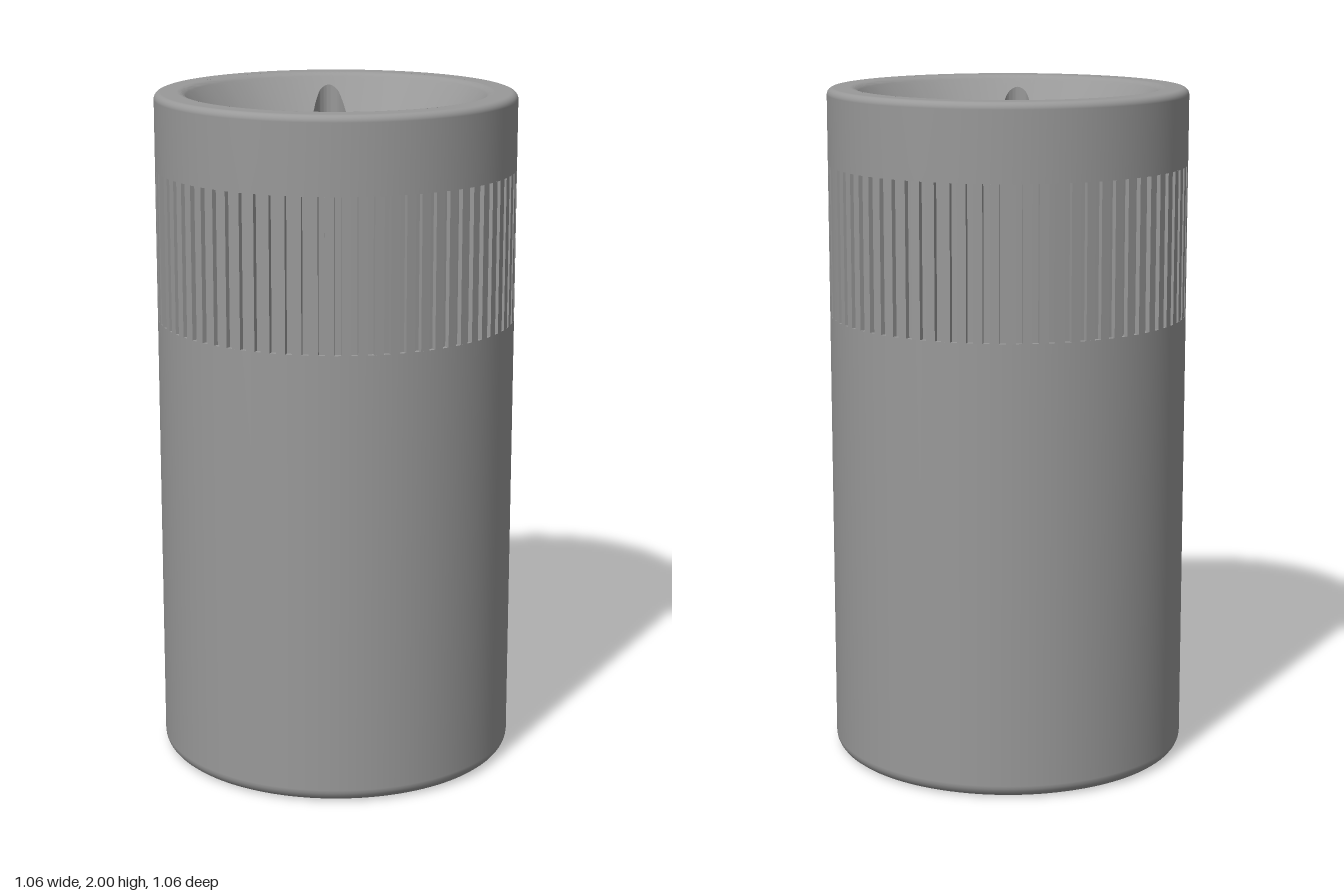
import * as THREE from 'three';
import { toCreasedNormals } from 'three/addons/utils/BufferGeometryUtils.js';

const V2 = (x, y) => new THREE.Vector2(x, y);
const R = 0.528;                       // outer radius
const KNURL = [1.335, 1.778];          // height range of the knurled band
const GROOVE_R = R - 0.014;            // radius at the bottom of the grooves
const DRIVE_FLOOR = 1.35, HEX_TOP = 0.9, BORE = 0.243;
const RIM = 0.445, SLOPE = 1.26;       // countersink radius at the top and its steepness
const material = new THREE.MeshStandardMaterial({ color: 0x999999, side: THREE.DoubleSide });

function circle(r, n) {
  return Array.from({ length: n }, (_, i) => {
    const a = (i / n) * Math.PI * 2;
    return V2(r * Math.cos(a), r * Math.sin(a));
  });
}

// Inward-facing wall through closed rings of Vector3, listed from bottom to top
function loft(rings) {
  const n = rings[0].length, index = [];
  for (let k = 0; k < rings.length - 1; k++)
    for (let i = 0; i < n; i++) {
      const a = k * n + i, b = k * n + (i + 1) % n;
      index.push(a, b, a + n, b, b + n, a + n);
    }
  const g = new THREE.BufferGeometry().setFromPoints(rings.flat());
  g.setIndex(index);
  return toCreasedNormals(g, 0.45);
}
const ring = (pts, y) => pts.map(p => new THREE.Vector3(p.x, y, p.y));

// Flat horizontal face with a hole, facing up or down
function plate(outer, hole, y, up) {
  const s = new THREE.Shape(outer);
  s.holes.push(new THREE.Path(hole));
  return new THREE.ShapeGeometry(s).rotateX(up ? -Math.PI / 2 : Math.PI / 2).translate(0, y, 0);
}

// Square drive outline: sides bowed inward, rounded lobes at the corners
function driveOutline() {
  const half = [[0.265, 0], [0.27, 0.12], [0.282, 0.205], [0.297, 0.24], [0.305, 0.27]];
  const quarter = [...half, [0.295, 0.295], ...half.slice(1).reverse().map(([x, y]) => [y, x])];
  const pts = [];
  for (let q = 0; q < 4; q++)
    for (const [x, y] of quarter) {
      const p = V2(x, y).rotateAround(V2(0, 0), q * Math.PI / 2);
      pts.push(new THREE.Vector3(p.x, p.y, 0));
    }
  return new THREE.CatmullRomCurve3(pts, true).getPoints(240).slice(0, 240).map(p => V2(p.x, p.y));
}

// Hexagon with rounded corners, two corners on the z axis
function hexOutline(apothem, r) {
  const pts = [], d = (apothem - r) / Math.cos(Math.PI / 6);
  for (let k = 0; k < 6; k++) {
    const a = Math.PI / 6 + k * Math.PI / 3;
    for (let j = -3; j <= 3; j++) {
      const b = a + j * Math.PI / 18;
      pts.push(V2(d * Math.cos(a) + r * Math.cos(b), d * Math.sin(a) + r * Math.sin(b)));
    }
  }
  return pts;
}

// Band of shallow vertical grooves
function knurlGeometry() {
  const pts = [], count = 72, step = Math.PI * 2 / count;
  for (let i = 0; i < count; i++)
    for (const [f, r] of [[-0.29, R], [0.29, R], [0.31, GROOVE_R], [0.69, GROOVE_R]]) {
      const a = (i + f) * step;
      pts.push(V2(r * Math.cos(a), r * Math.sin(a)));
    }
  const s = new THREE.Shape(pts);
  s.holes.push(new THREE.Path(circle(0.49, 72)));
  return new THREE.ExtrudeGeometry(s, { depth: KNURL[1] - KNURL[0], bevelEnabled: false })
    .rotateX(-Math.PI / 2).translate(0, KNURL[0], 0);
}

export function createModel() {
  const group = new THREE.Group();
  const add = (name, geometry) => {
    const m = new THREE.Mesh(geometry, material);
    m.name = name;
    group.add(m);
  };

  // Outer shell: sleeve with rounded foot, knurled band, collar with rounded top edge
  const foot = 0.038, top = 0.02, lip = 0.0145, lower = [], upper = [V2(R, KNURL[1])];
  for (let i = 0; i <= 6; i++) {
    const a = (i / 6) * Math.PI / 2;
    lower.push(V2(R - foot + foot * Math.sin(a), foot - foot * Math.cos(a)));
    upper.push(V2(R - top + top * Math.cos(a), 2 - top + top * Math.sin(a)));
  }
  lower.push(V2(R, KNURL[0]));
  upper.push(V2(RIM + lip, 2));
  add('lowerSleeve', new THREE.LatheGeometry(lower, 120));
  add('knurledBand', knurlGeometry());
  add('upperCollar', new THREE.LatheGeometry(upper, 120));

  // Ledges closing the groove ends
  const ledge = [circle(R, 120), circle(GROOVE_R - 0.01, 120)];
  add('lowerLedge', plate(...ledge, KNURL[0], true));
  add('upperLedge', plate(...ledge, KNURL[1], false));

  // Square drive recess, cut at the top by a conical countersink with a softened rim
  const drive = driveOutline();
  const coneY = r => 2 - SLOPE * (RIM - r);
  const wallTop = drive.map(p => new THREE.Vector3(p.x, coneY(p.length()), p.y));
  const rimRing = (r, y) => ring(drive.map(p => p.clone().setLength(r)), y);
  const lipCurve = new THREE.QuadraticBezierCurve(
    V2(RIM - 0.009, coneY(RIM - 0.009)), V2(RIM, 2), V2(RIM + lip, 2));
  add('driveWalls', loft([ring(drive, DRIVE_FLOOR), wallTop]));
  add('countersink', loft([wallTop, rimRing(RIM - 0.014, coneY(RIM - 0.014)),
    ...lipCurve.getPoints(5).map(p => rimRing(p.x, p.y))]));
  add('driveFloor', plate(drive, circle(BORE, 20), DRIVE_FLOOR, true));

  // Through bore joining the two recesses
  const bore = circle(BORE, 20);
  add('bore', loft([ring(bore, HEX_TOP), ring(bore, DRIVE_FLOOR)]));

  // Hexagonal recess and bottom face
  const hex = hexOutline(0.363, 0.05);
  add('hexWalls', loft([ring(hex, 0), ring(hex, HEX_TOP)]));
  add('hexCeiling', plate(hex, bore, HEX_TOP, false));
  add('bottomFace', plate(circle(R - foot, 120), hex, 0, false));

  return group;
}
